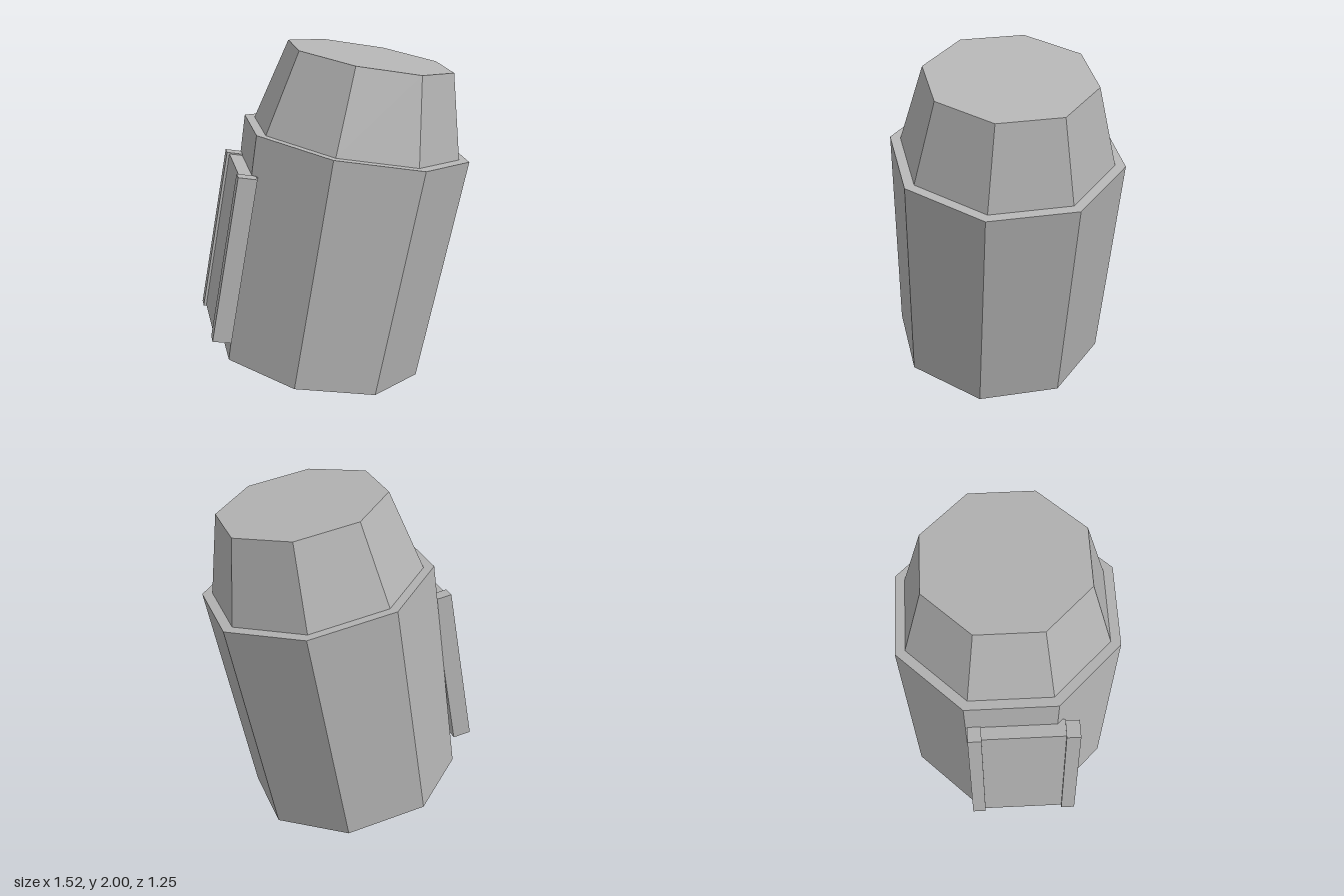
import * as THREE from 'three';

const grey = new THREE.MeshStandardMaterial({ color: 0xb4b4b4 });
grey.name = 'grey';
grey.flatShading = true;

// Octagonal frustum measured across its flats, standing on y
function octagon(name, bottomApothem, topApothem, y, height) {
  const k = 1 / Math.cos(Math.PI / 8);
  const geo = new THREE.CylinderGeometry(topApothem * k, bottomApothem * k, height, 8, 1, false, Math.PI / 8);
  const mesh = new THREE.Mesh(geo, grey);
  mesh.name = name;
  mesh.position.y = y + height / 2;
  return mesh;
}

// Box given by its minimum and maximum corners
function block(name, min, max) {
  const mesh = new THREE.Mesh(new THREE.BoxGeometry(...max.map((m, i) => m - min[i])), grey);
  mesh.name = name;
  mesh.position.set(...max.map((m, i) => (m + min[i]) / 2));
  return mesh;
}

export function createModel() {
  const model = new THREE.Group();
  model.name = 'leaningCanister';

  // Everything leans 10 degrees toward +x about the centre of the base
  const canister = new THREE.Group();
  canister.name = 'canister';
  canister.position.set(-0.0925, 0.105, 0);
  canister.rotation.z = -Math.PI / 18;
  model.add(canister);

  // Flaring body and tapered cap, leaving a narrow rim
  canister.add(octagon('body', 0.576, 0.626, 0, 1.358));
  canister.add(octagon('cap', 0.57, 0.453, 1.358, 0.487));

  // Side panel held between two upright rails
  canister.add(block('sidePanel', [-0.695, 0.171, -0.17], [-0.588, 1.131, 0.3]));
  canister.add(block('frontRail', [-0.71, 0.164, 0.3], [-0.602, 1.139, 0.38]));
  canister.add(block('backRail', [-0.71, 0.164, -0.247], [-0.602, 1.139, -0.17]));

  return model;
}
